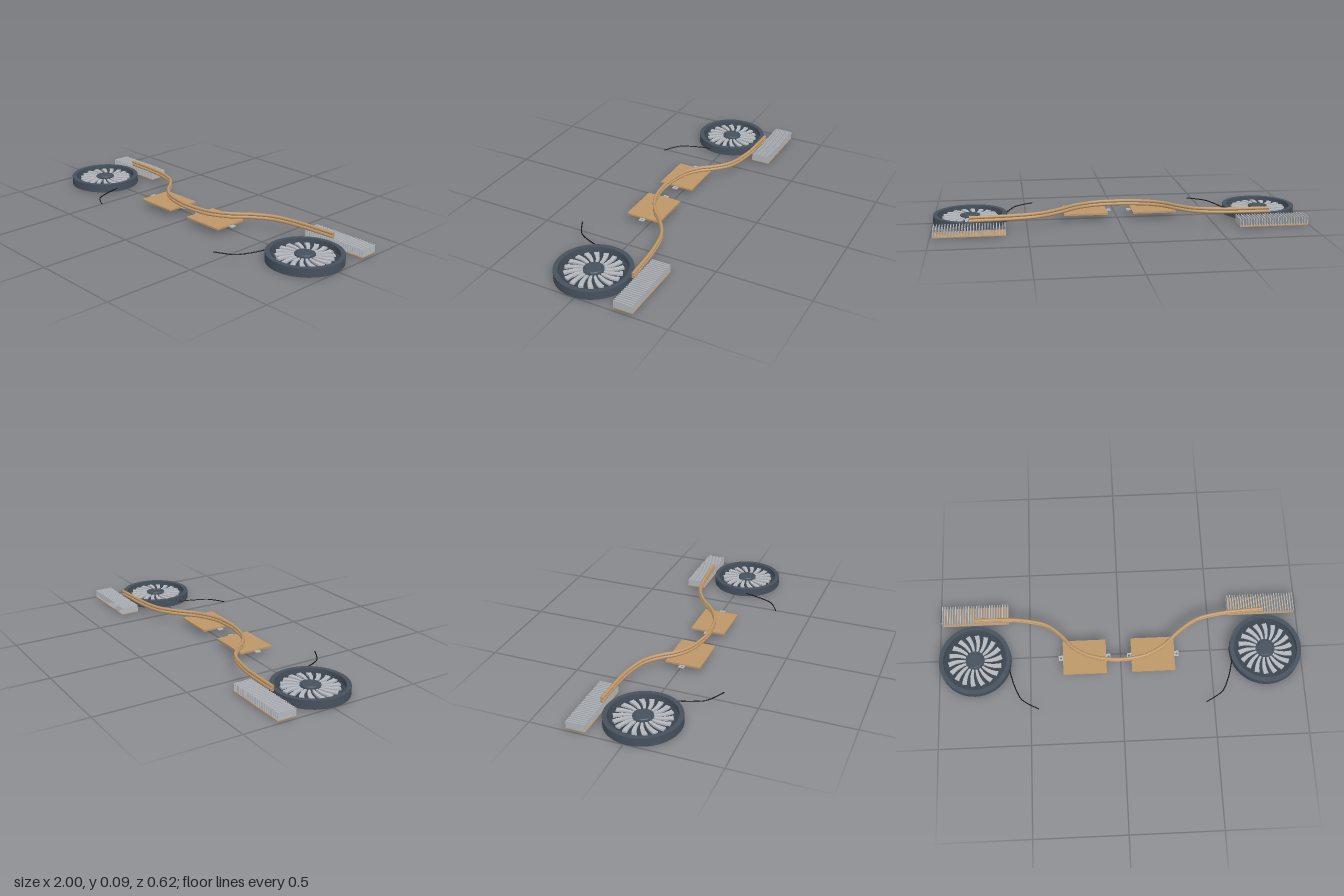
import * as THREE from 'three';

const mat = (color, extra = {}) => new THREE.MeshStandardMaterial({ color, ...extra });
const copper = mat(0xbd9668);
const slate = mat(0x46515d);
const dark = mat(0x39424c);
const silver = mat(0xb4b8bd);
const black = mat(0x151515);

function add(parent, name, geometry, material, x = 0, y = 0, z = 0) {
  const mesh = new THREE.Mesh(geometry, material);
  mesh.name = name;
  mesh.position.set(x, y, z);
  parent.add(mesh);
  return mesh;
}

const curve = (points) => new THREE.CatmullRomCurve3(points.map((p) => new THREE.Vector3(...p)));

// Swept impeller blade, drawn in plan and laid flat
function bladeGeometry() {
  const s = new THREE.Shape();
  s.moveTo(0.045, -0.005);
  s.quadraticCurveTo(0.1, -0.016, 0.15, 0.006);
  s.lineTo(0.141, 0.03);
  s.quadraticCurveTo(0.1, 0.004, 0.045, 0.004);
  s.closePath();
  const g = new THREE.ExtrudeGeometry(s, { depth: 0.01, bevelEnabled: false, curveSegments: 5 });
  return g.rotateX(-Math.PI / 2);
}

function makeFan(side) {
  const fan = new THREE.Group();
  fan.name = 'fan';
  fan.position.set(side * 0.802, 0, 0.015);

  // Shallow round housing, open at the top
  const profile = [[0, 0], [0.198, 0], [0.198, 0.046], [0.174, 0.046], [0.174, 0.016], [0, 0.016]];
  for (let i = 0; i < profile.length - 1; i++) {
    const pts = [profile[i], profile[i + 1]].map((p) => new THREE.Vector2(...p));
    add(fan, 'housing', new THREE.LatheGeometry(pts, 48), i === 4 ? dark : slate);
  }

  // Hub with a raised cap
  add(fan, 'hub', new THREE.CylinderGeometry(0.053, 0.053, 0.024, 32), slate, 0, 0.028, 0);
  add(fan, 'hubCap', new THREE.CylinderGeometry(0.04, 0.044, 0.004, 32), slate, 0, 0.042, 0);

  // Ring of blades
  const blade = bladeGeometry();
  const count = 18;
  for (let i = 0; i < count; i++) {
    add(fan, 'blade', blade, silver, 0, 0.024, 0).rotation.y = (i / count) * Math.PI * 2;
  }
  return fan;
}

function makeFinStack(side) {
  const stack = new THREE.Group();
  stack.name = 'finStack';
  stack.position.set(side * 0.801 - 0.002, 0, -0.255);
  add(stack, 'finBase', new THREE.BoxGeometry(0.373, 0.004, 0.106), copper, 0, 0.007, 0);
  const fin = new THREE.BoxGeometry(0.004, 0.04, 0.103);
  const count = 26;
  for (let i = 0; i < count; i++) {
    add(stack, 'fin', fin, silver, -0.183 + (i / (count - 1)) * 0.366, 0.029, 0);
  }
  return stack;
}

// Mounting tab with a screw hole
function tabGeometry() {
  const s = new THREE.Shape();
  s.moveTo(-0.02, -0.015);
  s.lineTo(0.024, -0.015);
  s.lineTo(0.024, 0.015);
  s.lineTo(-0.02, 0.015);
  s.closePath();
  const hole = new THREE.Path();
  hole.absarc(0.012, 0, 0.006, 0, Math.PI * 2, true);
  s.holes.push(hole);
  const g = new THREE.ExtrudeGeometry(s, { depth: 0.005, bevelEnabled: false, curveSegments: 8 });
  return g.rotateX(-Math.PI / 2);
}

function makeColdPlate(x) {
  const plate = new THREE.Group();
  plate.name = 'coldPlate';
  plate.position.set(x, 0, 0.025);
  add(plate, 'plate', new THREE.BoxGeometry(0.238, 0.01, 0.195), copper, 0, 0.04, 0);
  const tab = tabGeometry();
  for (const s of [-1, 1]) {
    add(plate, 'mountingTab', tab, silver, s * 0.119, 0.0345, 0).rotation.y = s > 0 ? 0 : Math.PI;
  }
  return plate;
}

// Heat pipe with flat end caps
function makePipe(y) {
  const pipe = new THREE.Group();
  pipe.name = 'heatPipe';
  const path = curve([
    [-0.8, y, -0.205], [-0.68, y, -0.204], [-0.55, y, -0.196], [-0.4, y, -0.158], [-0.32, y, -0.092],
    [-0.265, y, -0.028], [-0.19, y, 0.022], [-0.1, y, 0.048], [0, y, 0.058], [0.135, y, 0.04],
    [0.24, y, -0.014], [0.325, y, -0.09], [0.43, y, -0.158], [0.56, y, -0.188], [0.8, y, -0.205],
  ]);
  const r = 0.0087;
  add(pipe, 'tube', new THREE.TubeGeometry(path, 90, r, 14), copper);
  for (const t of [0, 1]) {
    const p = path.getPointAt(t);
    const out = path.getTangentAt(t).multiplyScalar(t ? 1 : -1);
    const cap = add(pipe, 'endCap', new THREE.CircleGeometry(r, 14), copper, p.x, p.y, p.z);
    cap.quaternion.setFromUnitVectors(new THREE.Vector3(0, 0, 1), out);
  }
  return pipe;
}

function makeWire(side) {
  const path = curve([
    [side * 0.618, 0.019, 0.05], [side * 0.605, 0.018, 0.11], [side * 0.583, 0.018, 0.18],
    [side * 0.55, 0.019, 0.245], [side * 0.505, 0.02, 0.278], [side * 0.455, 0.021, 0.305],
  ]);
  return new THREE.TubeGeometry(path, 30, 0.003, 8);
}

export function createModel() {
  const model = new THREE.Group();
  model.name = 'dualFanCooler';
  for (const side of [-1, 1]) {
    model.add(makeFan(side), makeFinStack(side));
    add(model, 'fanWire', makeWire(side), black);
  }
  model.add(makeColdPlate(-0.198), makeColdPlate(0.178));
  model.add(makePipe(0.0615), makePipe(0.0792));
  return model;
}
